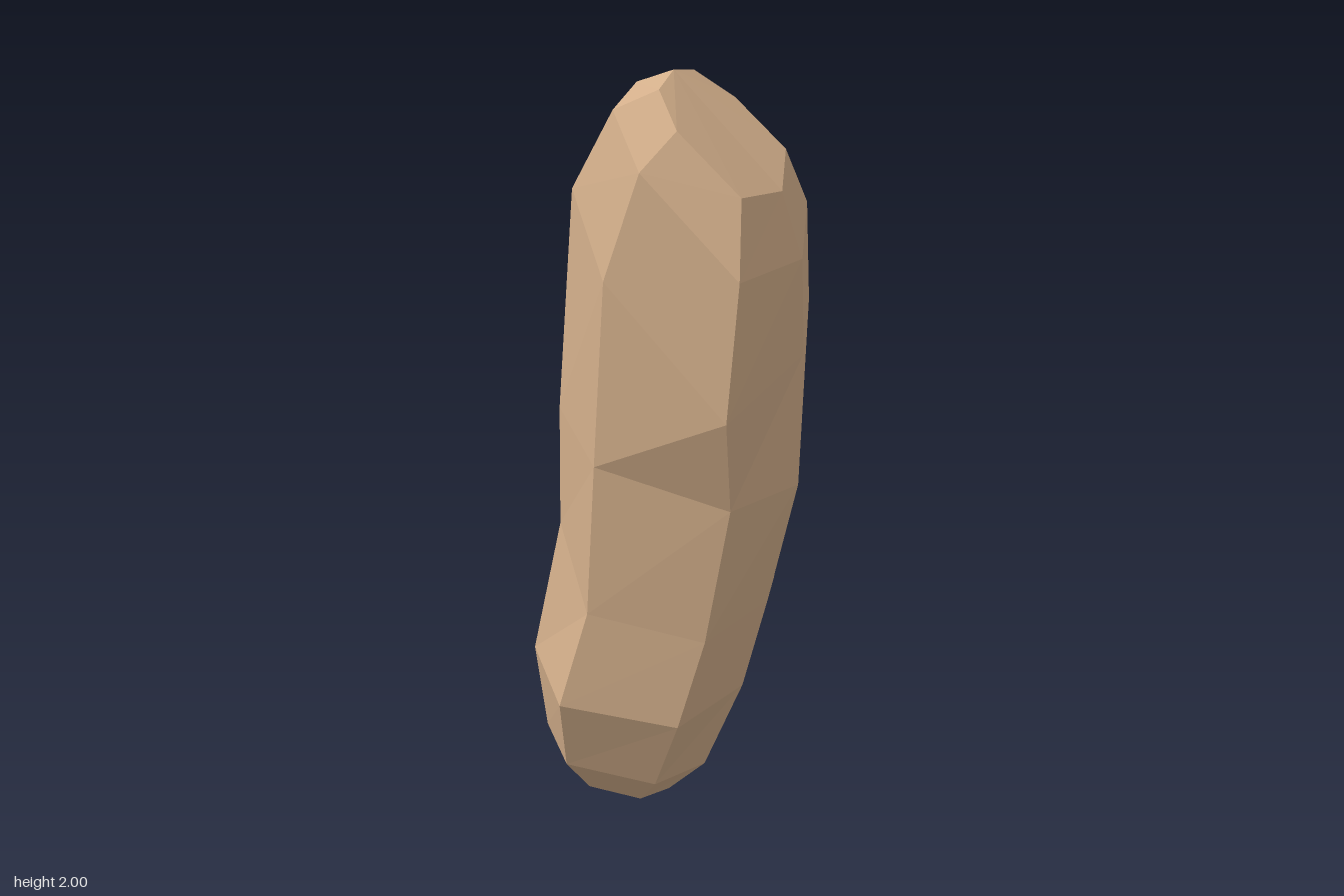
import * as THREE from 'three';

// Shared eight-sided cross-section (x, z), clockwise seen from above, starting at -x
const SECTION = [
  [-0.96, -0.12], [-0.83, -0.68], [-0.22, -1], [0.76, -0.8],
  [1, 0.02], [0.68, 1], [-0.42, 1], [-0.94, 0.52],
];

// Tilted rings from top to bottom: centre x, centre z, radius x, radius z, corner heights
const RINGS = [
  [0.165, 0.075, 0.155, 0.166, [2.0, 2.0, 1.93, 1.8, 1.7, 1.69, 1.85, 1.95]],
  [0.13, 0.055, 0.24, 0.258, [1.97, 1.97, 1.88, 1.66, 1.53, 1.49, 1.75, 1.9]],
  [0.06, 0, 0.3, 0.322, [1.83, 1.78, 1.61, 1.39, 1.28, 1.14, 1.48, 1.7]],
  [0.03, 0, 0.32, 0.305, [1.25, 1.21, 1.12, 1.0, 0.93, 0.9, 1.0, 1.12]],
  [-0.015, -0.01, 0.28, 0.305, [0.84, 0.82, 0.68, 0.59, 0.6, 0.54, 0.6, 0.8]],
  [-0.09, -0.01, 0.285, 0.32, [0.48, 0.47, 0.41, 0.36, 0.35, 0.3, 0.34, 0.44]],
  [-0.14, -0.02, 0.22, 0.245, [0.19, 0.2, 0.2, 0.14, 0.1, 0.1, 0.14, 0.2]],
  [-0.165, -0.035, 0.13, 0.14, [0.055, 0.06, 0.045, 0.02, 0, 0.005, 0.03, 0.05]],
];

// Skin the rings with triangles and close both ends
function loft(rings) {
  const n = SECTION.length;
  const positions = [];
  const index = [];
  rings.forEach(([cx, cz, rx, rz, heights], i) => {
    SECTION.forEach(([sx, sz], k) => {
      // The front left corner is pressed in on the lower half
      const dent = k === 5 && i >= 3 ? 0.8 : 1;
      positions.push(cx + sx * rx, heights[k], cz + sz * rz * dent);
    });
  });
  for (let i = 0; i < rings.length - 1; i++) {
    for (let k = 0; k < n; k++) {
      const a = i * n + k;
      const b = i * n + ((k + 1) % n);
      index.push(a, b, b + n, a, b + n, a + n);
    }
  }
  const last = (rings.length - 1) * n;
  for (let k = 1; k < n - 1; k++) {
    index.push(0, k + 1, k);
    index.push(last, last + k, last + k + 1);
  }
  const indexed = new THREE.BufferGeometry();
  indexed.setAttribute('position', new THREE.Float32BufferAttribute(positions, 3));
  indexed.setIndex(index);
  const geometry = indexed.toNonIndexed();
  geometry.computeVertexNormals();
  return geometry;
}

export function createModel() {
  const model = new THREE.Group();
  model.name = 'bentFacetedPod';
  const material = new THREE.MeshStandardMaterial({ color: 0xd2ae8a, flatShading: true });
  const body = new THREE.Mesh(loft(RINGS), material);
  body.name = 'body';
  model.add(body);
  return model;
}
